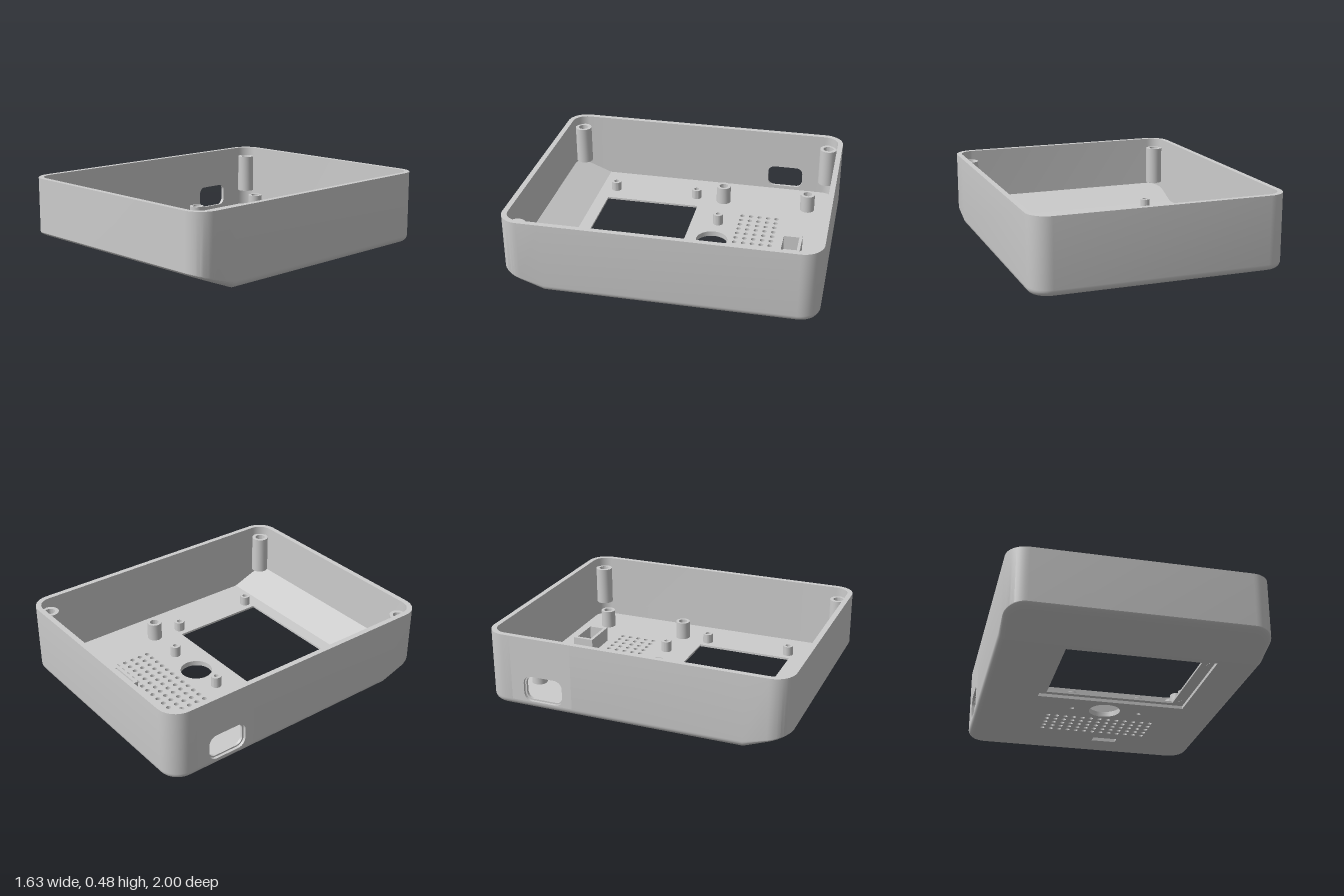
import * as THREE from 'three';
import { toCreasedNormals } from 'three/addons/utils/BufferGeometryUtils.js';

const W = 0.8175, L = 1, H = 0.48, R = 0.13;      // half width, half length, height, corner radius
const WALL = 0.035, FLOOR = 0.035, FILLET = 0.045;
const RAMP_Z = 0.72, RAMP_RISE = 0.11;            // sloped front underside
const PORT = [-0.82, -0.4];                       // z range of the side wall panel with the port
const ARC = 10;

// Height of a point once the front ramp lifts the bottom; squash flattens the fillet there
function lift(y, z, squash = 0) {
  const t = Math.max(0, (z - RAMP_Z) / (L - RAMP_Z));
  return y >= H ? y : y + t * (RAMP_RISE - squash * y);
}

// Rounded outline inset by d, as (x, -z) points, counterclockwise from above
function outline(d) {
  const w = W - d, l = L - d, r = R - d, pts = [[w, -RAMP_Z]];
  const arc = (cx, cy, start) => {
    for (let i = 0; i <= ARC; i++) {
      const a = start + (i / ARC) * Math.PI / 2;
      pts.push([cx + r * Math.cos(a), cy + r * Math.sin(a)]);
    }
  };
  arc(w - r, l - r, 0);
  arc(r - w, l - r, Math.PI / 2);
  pts.push([-w, -PORT[0]], [-w, -PORT[1]], [-w, -RAMP_Z]);
  arc(r - w, r - l, Math.PI);
  arc(w - r, r - l, 1.5 * Math.PI);
  return pts;
}

// Walls: outer fillet, outer side, rim, inner side, in one loft of [inset, height, squash]
function wallGeometry() {
  const levels = [];
  for (let i = 0; i <= 6; i++) {
    const a = (i / 6) * Math.PI / 2;
    levels.push([FILLET * (1 - Math.sin(a)), FILLET * (1 - Math.cos(a)), 0.75]);
  }
  levels.push([0, H], [WALL, H], [WALL, FILLET], [WALL, FLOOR], [FILLET, FLOOR]);
  const loops = levels.map(([d, y, s]) => outline(d).map(([x, u]) => [x, lift(y, -u, s), -u]));
  const n = loops[0].length, portIndex = 1 + 2 * (ARC + 1), pos = [];
  for (let i = 0; i < loops.length - 1; i++) {
    const high = Math.min(levels[i][1], levels[i + 1][1]) >= FILLET - 1e-6;
    for (let j = 0; j < n; j++) {
      if (high && j === portIndex) continue;      // left open for the port panel
      const k = (j + 1) % n;
      const a = loops[i][j], b = loops[i][k], c = loops[i + 1][k], e = loops[i + 1][j];
      pos.push(...a, ...b, ...c, ...a, ...c, ...e);
    }
  }
  const g = new THREE.BufferGeometry();
  g.setAttribute('position', new THREE.Float32BufferAttribute(pos, 3));
  return toCreasedNormals(g, 0.34);
}

const shapeOf = pts => new THREE.Shape(pts.map(p => new THREE.Vector2(p[0], p[1])));

function rectPath(x0, x1, y0, y1, r = 0, Type = THREE.Path) {
  const p = new Type();
  if (!r) return p.moveTo(x0, y0).lineTo(x1, y0).lineTo(x1, y1).lineTo(x0, y1).closePath();
  p.absarc(x1 - r, y0 + r, r, -Math.PI / 2, 0);
  p.absarc(x1 - r, y1 - r, r, 0, Math.PI / 2);
  p.absarc(x0 + r, y1 - r, r, Math.PI / 2, Math.PI);
  p.absarc(x0 + r, y0 + r, r, Math.PI, 1.5 * Math.PI);
  return p.closePath();
}

// Rectangle given by its z range, for horizontal slabs
const floorRect = (x0, x1, z0, z1, Type) => rectPath(x0, x1, -z1, -z0, 0, Type);
const circle = (x, z, r) => new THREE.Path().absarc(x, -z, r, 0, Math.PI * 2);

function slab(shape, y0, y1, segments = 8) {
  const g = new THREE.ExtrudeGeometry(shape, { depth: y1 - y0, bevelEnabled: false, curveSegments: segments });
  return g.rotateX(-Math.PI / 2).translate(0, y0, 0);
}

function rampGeometry(g) {
  const p = g.attributes.position;
  for (let i = 0; i < p.count; i++) p.setY(i, lift(p.getY(i), p.getZ(i)));
  g.computeVertexNormals();
  return g;
}

// Turned screw post from a profile of [radius, height] points
function postGeometry(x, z, profile) {
  const g = new THREE.LatheGeometry(profile.map(p => new THREE.Vector2(...p)), 28);
  return toCreasedNormals(g.translate(x, 0, z), 0.5);
}

// Hollow post standing on the floor
const bossGeometry = (x, z, ro, ri, top) =>
  postGeometry(x, z, [[ro, 0.02], [ro, top], [ri, top], [ri, 0.02]]);

export function createModel() {
  const model = new THREE.Group();
  model.name = 'enclosure';
  const grey = new THREE.MeshStandardMaterial({ color: 0xcccccc });
  grey.name = 'light grey plastic';
  const add = (name, geometry) => {
    const m = new THREE.Mesh(geometry, grey);
    m.name = name;
    model.add(m);
  };

  add('walls', wallGeometry());

  // Floor in two layers: the lower one has the wider display recess
  const base = outline(FILLET);
  const flat = base.filter(p => p[1] >= -RAMP_Z - 1e-6);
  const front = [...base.filter((p, i) => i > 0 && p[1] <= -RAMP_Z + 1e-6), base[0]];
  const midX = 0.034;
  const sensorPosts = [[-0.191, -0.209], [0.272, -0.209]];
  const floorLayer = (name, y0, y1, display) => {
    const s = shapeOf(flat);
    s.holes.push(floorRect(...display));
    s.holes.push(floorRect(0.068, 0.24, -0.772, -0.712));
    s.holes.push(circle(midX, -0.206, 0.106));
    sensorPosts.forEach(([x, z]) => s.holes.push(circle(x, z, 0.015)));
    for (let c = -6; c <= 6; c++) {
      for (let r = 0; r < 5; r++) s.holes.push(circle(midX + c * 0.06, -0.601 + r * 0.06, 0.016));
    }
    add(name, toCreasedNormals(slab(s, y0, y1, 20), 0.5));
  };
  floorLayer('outerFloor', 0, 0.021, [-0.45, 0.54, -0.055, 0.69]);
  floorLayer('innerFloor', 0.021, FLOOR, [-0.397, 0.46, -0.022, 0.635]);
  add('frontRamp', rampGeometry(slab(shapeOf(front), 0, FLOOR)));

  // Side wall panel with a stepped port
  const portLayer = (name, x, hole) => {
    const s = rectPath(PORT[0], PORT[1], FILLET, H, 0, THREE.Shape);
    s.holes.push(rectPath(...hole));
    const g = new THREE.ExtrudeGeometry(s, { depth: WALL / 2, bevelEnabled: false, curveSegments: 8 });
    add(name, toCreasedNormals(g.rotateY(-Math.PI / 2).translate(x, 0, 0), 0.5));
  };
  portLayer('portPanelInner', WALL - W, [-0.722, -0.474, 0.06, 0.212, 0.045]);
  portLayer('portPanelOuter', WALL / 2 - W, [-0.733, -0.463, 0.05, 0.222, 0.055]);

  // Raised frame around the slot
  const frame = floorRect(0.032, 0.28, -0.816, -0.673, THREE.Shape);
  frame.holes.push(floorRect(0.055, 0.253, -0.796, -0.694));
  add('slotFrame', slab(frame, FLOOR, 0.135));

  // Corner posts merge into the walls and end above the floor
  const cornerProfile = [[0, 0.155], [0.058, 0.155], [0.058, 0.42], [0.034, 0.42], [0.034, 0.2], [0, 0.2]];
  for (const x of [-0.72, 0.72]) {
    for (const z of [-0.9, 0.9]) add('cornerPost', postGeometry(x, z, cornerProfile));
  }

  // Posts on the floor
  for (const x of [-0.511, 0.549]) {
    for (const z of [-0.792, -0.192]) add('boardPost', bossGeometry(x, z, 0.05, 0.03, 0.157));
  }
  for (const x of [-0.53, 0.53]) {
    for (const z of [0.009, 0.607]) add('displayPost', bossGeometry(x, z, 0.035, 0.018, 0.1));
  }
  sensorPosts.forEach(([x, z]) => add('sensorPost', bossGeometry(x, z, 0.034, 0.015, 0.11)));

  return model;
}
